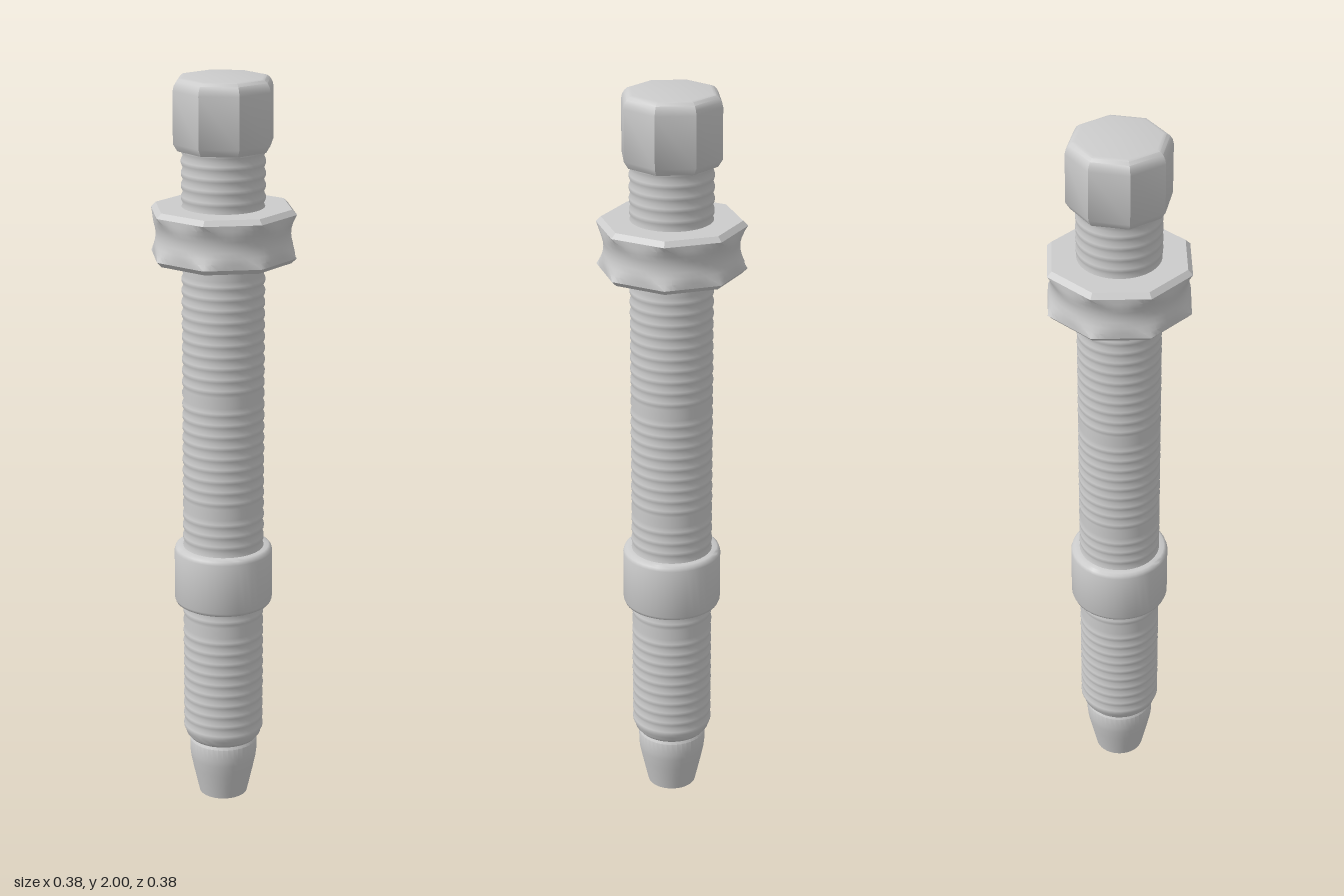
import * as THREE from 'three';
import { toCreasedNormals } from 'three/addons/utils/BufferGeometryUtils.js';

const material = new THREE.MeshStandardMaterial({ color: 0xcccccc, side: THREE.DoubleSide });

// Revolve [radius, y] points, listed bottom to top along the outside
function revolve(points, sides, crease, phase = 0) {
  const profile = points.map(([r, y]) => new THREE.Vector2(r, y));
  const geo = new THREE.LatheGeometry(profile, sides, phase, Math.PI * 2);
  return toCreasedNormals(geo, crease);
}

function part(name, geometry) {
  const mesh = new THREE.Mesh(geometry, material);
  mesh.name = name;
  return mesh;
}

// Threaded rod section: a stack of shallow rounded ridges with closed ends
function threadedRod(y0, y1, pitch) {
  const points = [[0, y0], [0.092, y0], [0.102, y0 + 0.012]];
  const start = y0 + 0.02;
  const count = Math.round((y1 - start) / pitch);
  const step = (y1 - start) / count;
  for (let i = 0; i < count; i++) {
    const y = start + i * step;
    points.push([0.104, y], [0.109, y + step * 0.35], [0.109, y + step * 0.65]);
  }
  points.push([0.104, y1], [0, y1]);
  return revolve(points, 40, 0.9);
}

// Octagonal lock nut whose corners are hollowed out by a round waist
function lockNut() {
  const mid = 1.597, phase = 0.22, sector = Math.PI / 4;
  const points = [[0.1, 1.527], [0.182, 1.527], [0.195, 1.54]];
  for (let i = 1; i < 8; i++) points.push([0.195, 1.54 + (i / 8) * 0.114]);
  points.push([0.195, 1.654], [0.182, 1.667], [0.1, 1.667]);
  const geo = new THREE.LatheGeometry(points.map(([r, y]) => new THREE.Vector2(r, y)), 64);
  const pos = geo.attributes.position;
  for (let i = 0; i < pos.count; i++) {
    const x = pos.getX(i), y = pos.getY(i), z = pos.getZ(i);
    const r = Math.hypot(x, z), angle = Math.atan2(x, z);
    const local = ((angle % sector) + sector) % sector - sector / 2;
    let radius = r * Math.cos(sector / 2) / Math.cos(local);
    const t = (y - mid) / 0.057;
    if (Math.abs(t) < 0.99) radius = Math.min(radius, 0.175 + 0.02 * t * t);
    pos.setX(i, Math.sin(angle + phase) * radius);
    pos.setZ(i, Math.cos(angle + phase) * radius);
  }
  return toCreasedNormals(geo, 0.45);
}

export function createModel() {
  const group = new THREE.Group();

  group.add(part('threadedRod', threadedRod(0.17, 1.83, 0.031)));

  // Tapered hollow tip
  group.add(part('tip', revolve([
    [0, 0.1], [0.054, 0.1], [0.054, 0], [0.066, 0], [0.074, 0.035], [0.083, 0.075],
    [0.09, 0.108], [0.092, 0.125], [0.092, 0.16], [0.088, 0.166], [0.086, 0.172], [0, 0.172],
  ], 40, 0.6)));

  // Round collar with softened rims
  group.add(part('collar', revolve([
    [0.1, 0.572], [0.122, 0.572], [0.129, 0.576], [0.132, 0.584],
    [0.132, 0.722], [0.129, 0.731], [0.122, 0.736], [0.1, 0.736],
  ], 40, 0.9)));

  group.add(part('lockNut', lockNut()));

  // Octagonal cap with a rounded top and chamfered bottom
  group.add(part('headCap', revolve([
    [0, 1.815], [0.122, 1.815], [0.134, 1.834], [0.134, 1.968],
    [0.131, 1.981], [0.125, 1.991], [0.117, 1.998], [0.108, 2], [0, 2],
  ], 8, 0.6)));

  return group;
}
